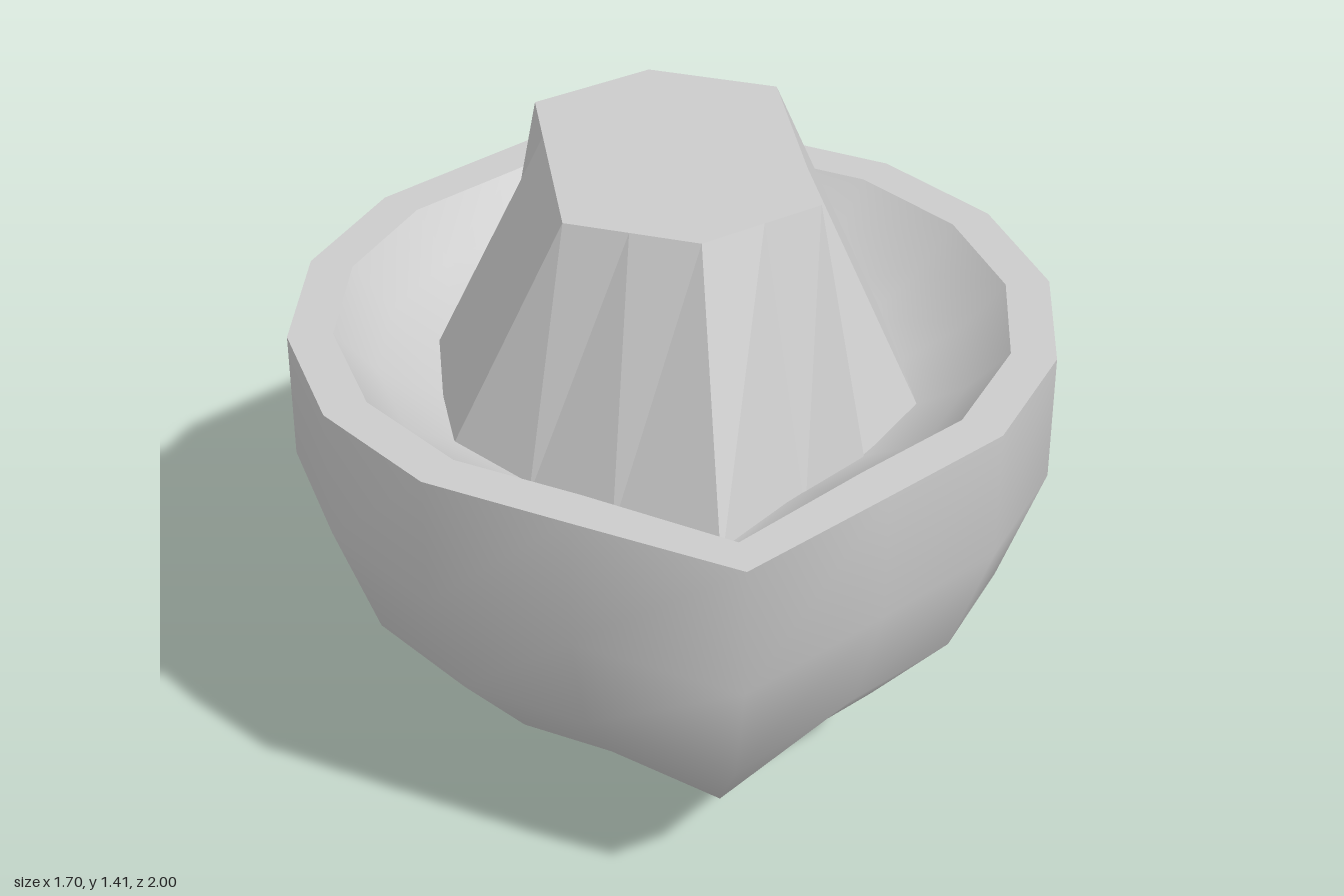
import * as THREE from 'three';

const SIDES = 16;

// Sixteen-sided ring whose front and back corners are pulled out into points
function pointedRing(r, y, pull = 0.15) {
  return Array.from({ length: SIDES }, (_, i) => {
    const t = (i / SIDES) * Math.PI * 2;
    const tip = i % 8 === 4 ? Math.sign(Math.sin(t)) * pull : 0;
    return [r * Math.cos(t), y, r * Math.sin(t) + tip];
  });
}

// Full ring from five corners of one quarter, side (+x) to front (+z)
function mirroredRing(quarter, y) {
  return Array.from({ length: SIDES }, (_, i) => {
    const k = i % 8 <= 4 ? i % 8 : 8 - (i % 8);
    const [x, z] = quarter[k];
    const sx = i > 4 && i < 12 ? -1 : 1;
    const sz = i > 8 ? -1 : 1;
    return [sx * x, y, sz * z];
  });
}

// Skin a stack of rings
function loft(name, rings, flat = false) {
  const index = [];
  for (let j = 0; j < rings.length - 1; j++) {
    for (let i = 0; i < SIDES; i++) {
      const a = j * SIDES + i;
      const b = j * SIDES + ((i + 1) % SIDES);
      index.push(a, a + SIDES, b, b, a + SIDES, b + SIDES);
    }
  }
  let geometry = new THREE.BufferGeometry();
  geometry.setAttribute('position', new THREE.Float32BufferAttribute(rings.flat(2), 3));
  geometry.setIndex(index);
  if (flat) geometry = geometry.toNonIndexed();
  geometry.computeVertexNormals();
  const material = new THREE.MeshStandardMaterial({ color: 0xcccccc, flatShading: flat });
  const mesh = new THREE.Mesh(geometry, material);
  mesh.name = name;
  return mesh;
}

export function createModel() {
  const model = new THREE.Group();
  model.name = 'pointedBowl';
  const rimY = 1.02;

  // Rounded outer shell, from the bottom point to the rim
  model.add(loft('outerShell', [
    pointedRing(0, 0, 0),
    pointedRing(0.3, 0.055, 0.145),
    pointedRing(0.555, 0.205),
    pointedRing(0.75, 0.435),
    pointedRing(0.85, 0.72),
    pointedRing(0.85, rimY),
  ]));

  // Flat rim
  model.add(loft('rim', [pointedRing(0.85, rimY), pointedRing(0.75, rimY)], true));

  // Shallow dished inside
  model.add(loft('innerDish', [
    pointedRing(0.75, rimY),
    pointedRing(0.66, 0.92),
    pointedRing(0.52, 0.84),
    pointedRing(0.3, 0.79),
    pointedRing(0, 0.77, 0),
  ]));

  // Faceted, tapering centre block with a flat top
  const base = [[0.53, 0], [0.53, 0.215], [0.365, 0.375], [0.205, 0.525], [0, 0.69]];
  const top = [[0.27, 0], [0.27, 0.11], [0.27, 0.275], [0.14, 0.335], [0, 0.4]];
  model.add(loft('centreBlock', [
    mirroredRing(base, 0.81),
    mirroredRing(top, 1.41),
    pointedRing(0, 1.414, 0),
  ], true));

  return model;
}
